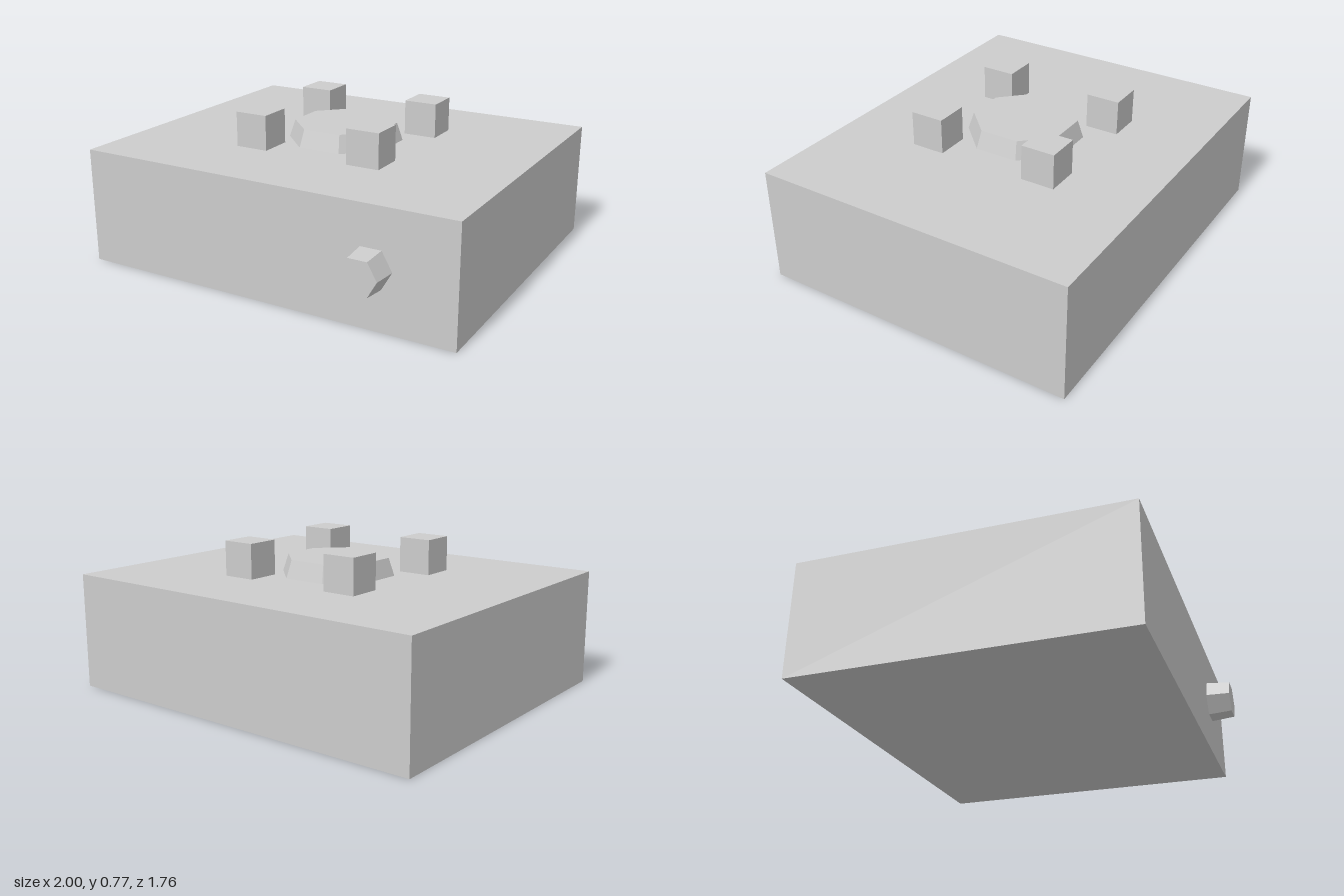
import * as THREE from 'three';

export function createModel() {
  const group = new THREE.Group();
  const grey = new THREE.MeshStandardMaterial({ color: 0xcccccc, flatShading: true });
  grey.name = 'light grey';

  function add(name, geometry, x, y, z) {
    const mesh = new THREE.Mesh(geometry, grey);
    mesh.name = name;
    mesh.position.set(x, y, z);
    group.add(mesh);
    return mesh;
  }

  // Stove body
  const top = 0.59, burnerZ = -0.06;
  add('body', new THREE.BoxGeometry(2, top, 1.64), 0, top / 2, -0.06);

  // Tapered octagonal burner with flats facing the sides
  const burner = new THREE.CylinderGeometry(0.264, 0.294, 0.09, 8).rotateY(Math.PI / 8);
  add('burner', burner, 0, top + 0.045, burnerZ);

  // Four pan supports around the burner
  const size = 0.173, height = 0.178;
  for (const sx of [-1, 1]) {
    for (const sz of [-1, 1]) {
      add('panSupport', new THREE.BoxGeometry(size, height, size),
        sx * 0.314, top + height / 2, burnerZ + sz * 0.313);
    }
  }

  // Tapered hexagonal control knob on the front
  const knob = new THREE.CylinderGeometry(0.095, 0.1055, 0.12, 6)
    .rotateY(Math.PI / 6)
    .rotateX(Math.PI / 2);
  add('knob', knob, 0.587, 0.297, 0.82);

  return group;
}
